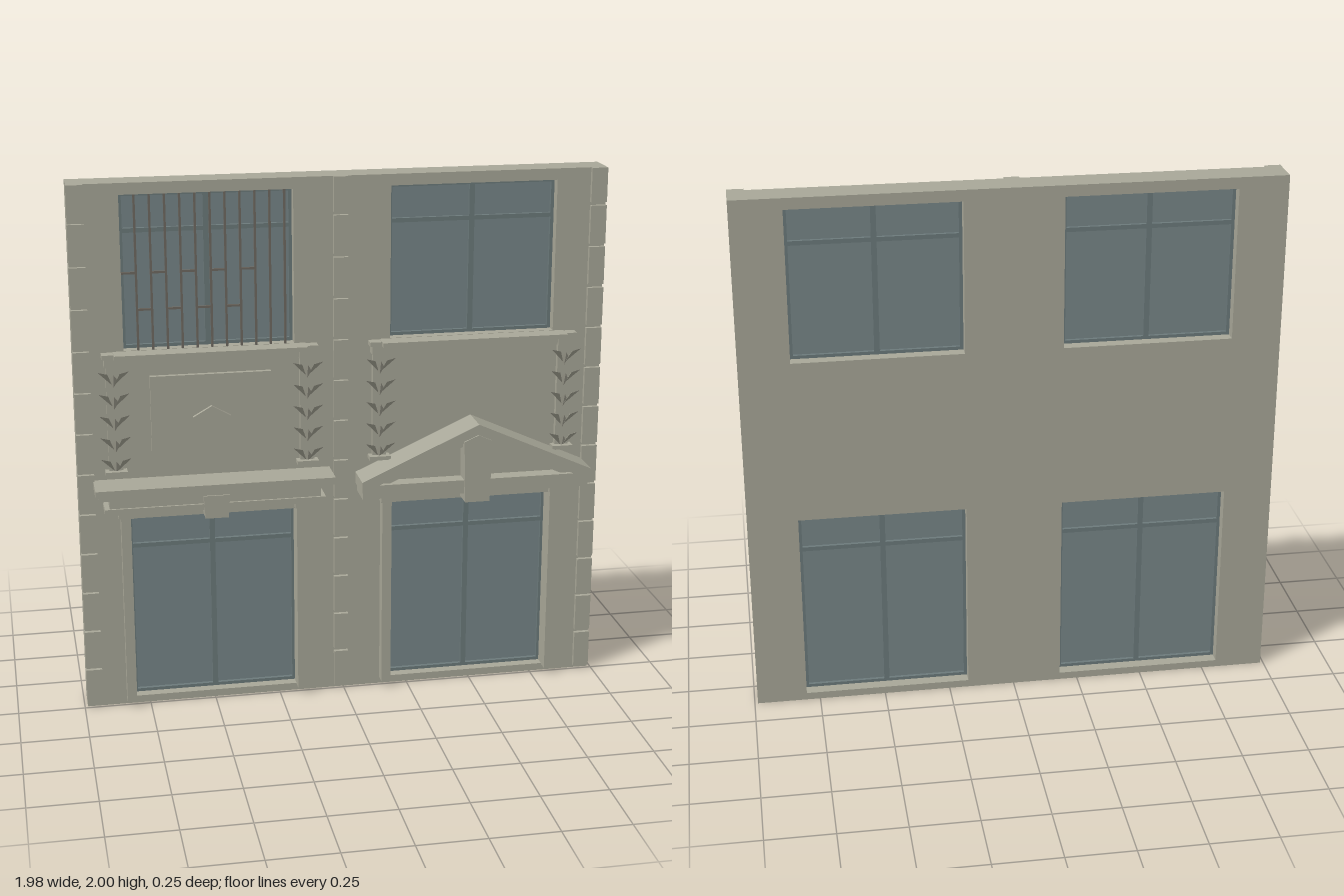
import * as THREE from 'three';
import { ConvexGeometry } from 'three/addons/geometries/ConvexGeometry.js';

const WALL = -0.012; // front plane of the wall
const BACK = -0.125;

export function createModel() {
  const root = new THREE.Group();
  root.name = 'townhouseFacade';

  const mat = (name, color) => {
    const m = new THREE.MeshStandardMaterial({ color, flatShading: true });
    m.name = name;
    return m;
  };
  const stone = mat('stone', 0xa9a899);
  const glass = mat('glass', 0x788789);
  const frame = mat('windowFrame', 0x6d7b7c);
  const iron = mat('iron', 0x6f6a62);

  const add = (parent, name, geo, material) => {
    const mesh = new THREE.Mesh(geo, material);
    mesh.name = name;
    parent.add(mesh);
    return mesh;
  };
  // Box given by its extents
  const box = (parent, name, x0, x1, y0, y1, z0, z1, material = stone) => {
    const geo = new THREE.BoxGeometry(x1 - x0, y1 - y0, z1 - z0);
    geo.translate((x0 + x1) / 2, (y0 + y1) / 2, (z0 + z1) / 2);
    return add(parent, name, geo, material);
  };
  // Outline in x/y extruded from z0 to z1
  const slab = (parent, name, pts, z0, z1, holes = []) => {
    const shape = new THREE.Shape(pts.map(p => new THREE.Vector2(...p)));
    for (const h of holes) shape.holes.push(new THREE.Path(h.map(p => new THREE.Vector2(...p))));
    const geo = new THREE.ExtrudeGeometry(shape, { depth: z1 - z0, bevelEnabled: false });
    geo.translate(0, 0, z0);
    return add(parent, name, geo, stone);
  };
  const rect = (x0, x1, y0, y1) => [[x0, y0], [x1, y0], [x1, y1], [x0, y1]];
  const group = (name, x = 0) => {
    const g = new THREE.Group();
    g.name = name;
    g.position.x = x;
    root.add(g);
    return g;
  };

  const bays = [-0.494, 0.489];
  const W = 0.312; // half width of a window opening
  const floors = [[0.028, 0.768, 0.625], [1.39, 1.958, 1.822]]; // bottom, top, transom

  // Wall with four openings
  const holes = bays.flatMap(c => floors.map(([y0, y1]) => rect(c - W, c + W, y0, y1)));
  slab(root, 'wall', rect(-0.988, 0.988, 0, 2), BACK, WALL, holes);

  // Pilasters of stacked blocks
  for (const [x0, x1] of [[-0.99, -0.93], [-0.037, 0.017], [0.928, 0.988]]) {
    const pilaster = group('pilaster');
    for (let i = 0; i < 13; i++) {
      const y0 = 0.012 + i * 0.155;
      box(pilaster, 'pilasterBlock', x0, x1, y0, Math.min(y0 + 0.143, 2), WALL - 0.01, 0.004);
    }
  }

  // Windows: glass, border, mullion and transom
  for (const c of bays) {
    for (const [y0, y1, t] of floors) {
      const win = group('window', c);
      box(win, 'pane', -W, W, y0, y1, -0.07, -0.064, glass);
      const z = [-0.082, -0.05, frame];
      for (const s of [-1, 1]) {
        const a = s * W, b = s * (W - 0.012);
        box(win, 'sideFrame', Math.min(a, b), Math.max(a, b), y0, y1, ...z);
      }
      box(win, 'bottomFrame', -W, W, y0, y0 + 0.012, ...z);
      box(win, 'topFrame', -W, W, y1 - 0.012, y1, ...z);
      box(win, 'mullion', -0.01, 0.01, y0, y1, ...z);
      box(win, 'transom', -W, W, t - 0.008, t + 0.008, ...z);
    }
  }

  // Iron grille in one upper window
  const grille = group('grille', bays[0]);
  const pitch = 2 * W / 11.6;
  for (let i = 1; i <= 11; i++) {
    const x = -W + i * pitch;
    box(grille, 'grilleBar', x - 0.004, x + 0.004, 1.385, 1.958, -0.02, -0.012, iron);
    if (i < 10) {
      const y = i % 2 ? 1.675 : 1.54;
      box(grille, 'grilleLink', x - pitch, x, y - 0.004, y + 0.004, -0.02, -0.012, iron);
    }
  }

  // Leaf geometries shared by the garland posts
  const v = (x, y, z) => new THREE.Vector3(x, y, z);
  const sideLeaf = s => new ConvexGeometry([
    v(s * 0.004, -0.06, 0.008), v(s * 0.056, -0.004, 0.034),
    v(s * 0.022, -0.012, 0.036), v(s * 0.03, -0.022, 0.004)]);
  const middleLeaf = new ConvexGeometry([
    v(-0.018, -0.045, 0.005), v(0.018, -0.045, 0.005), v(0, -0.07, 0.01), v(0, -0.015, 0.034)]);
  const leaves = [sideLeaf(-1), sideLeaf(1), middleLeaf];

  for (const c of bays) {
    // Stone surround of the lower window
    const door = group('lowerSurround', c);
    for (const s of [-1, 1]) {
      const side = new THREE.Group();
      side.name = 'jamb';
      side.position.x = s * 0.328;
      door.add(side);
      box(side, 'jambPost', -0.018, 0.018, 0.025, 0.772, BACK + 0.06, 0.03);
      box(side, 'jambCapital', -0.028, 0.028, 0.77, 0.805, WALL, 0.055);
    }
    box(door, 'lintel', -0.33, 0.33, 0.766, 0.805, WALL, 0.04);

    // Stepped sill of the upper window
    const sill = group('upperSill', c);
    box(sill, 'sillEnds', -0.395, 0.395, 1.37, 1.387, WALL, 0.03);
    box(sill, 'sillTop', -0.352, 0.352, 1.372, 1.389, WALL, 0.056);
    box(sill, 'sillUnderside', -0.345, 0.345, 1.343, 1.372, WALL, 0.022);

    // Leafy posts beside the panel
    for (const s of [-1, 1]) {
      const post = group('garlandPost', c + s * 0.355);
      box(post, 'post', -0.026, 0.026, 0.94, 1.37, WALL, 0.008);
      box(post, 'postCap', -0.032, 0.032, 1.34, 1.372, WALL, 0.03);
      box(post, 'postFoot', -0.04, 0.04, 0.93, 0.945, WALL, 0.03);
      for (let i = 0; i < 5; i++)
        for (const geo of leaves) add(post, 'leaf', geo, stone).position.y = 1.33 - i * 0.082;
    }
  }

  // Panel with a diamond boss
  const panel = group('panel', bays[0]);
  box(panel, 'panelPlate', -0.222, 0.222, 1.005, 1.293, WALL, 0.006);
  slab(panel, 'diamond', [[-0.07, 1.135], [0, 1.095], [0.07, 1.135], [0, 1.175]], 0.006, 0.02);

  // Straight stepped cornice: half width, bottom, top, front
  const cornice = group('cornice', bays[0]);
  for (const [w, y0, y1, z] of [
    [0.441, 0.878, 0.905, 0.122], [0.43, 0.862, 0.878, 0.112], [0.39, 0.826, 0.862, 0.092],
    [0.408, 0.804, 0.826, 0.1]]) box(cornice, 'corniceStep', -w, w, y0, y1, WALL, z);
  slab(cornice, 'keystone', [[-0.043, 0.773], [0.043, 0.773], [0.048, 0.86], [-0.048, 0.86]], WALL, 0.112);

  // Triangular pediment: chevron bands over a base and a recessed field
  const pediment = group('pediment', bays[1]);
  const slope = 0.2 / 0.442;
  const band = (w, top, thick, z) => {
    const e = top - w * slope;
    slab(pediment, 'rakingCornice',
      [[-w, e], [-w, e - thick], [0, top - thick], [w, e - thick], [w, e], [0, top]], WALL, z);
  };
  band(0.442, 1.077, 0.02, 0.122);
  band(0.438, 1.057, 0.028, 0.112);
  band(0.42, 1.029, 0.022, 0.09);
  slab(pediment, 'pedimentField', [[-0.42, 0.83], [0.42, 0.83], [0, 1.02]], WALL, 0.05);
  box(pediment, 'pedimentBase', -0.436, 0.436, 0.803, 0.845, WALL, 0.1);
  box(pediment, 'pedimentBaseTop', -0.441, 0.441, 0.832, 0.858, WALL, 0.108);
  slab(pediment, 'keystone', [[-0.047, 0.773], [0.047, 0.773], [0.054, 1.01], [0, 1.034], [-0.054, 1.01]], WALL, 0.118);

  return root;
}
